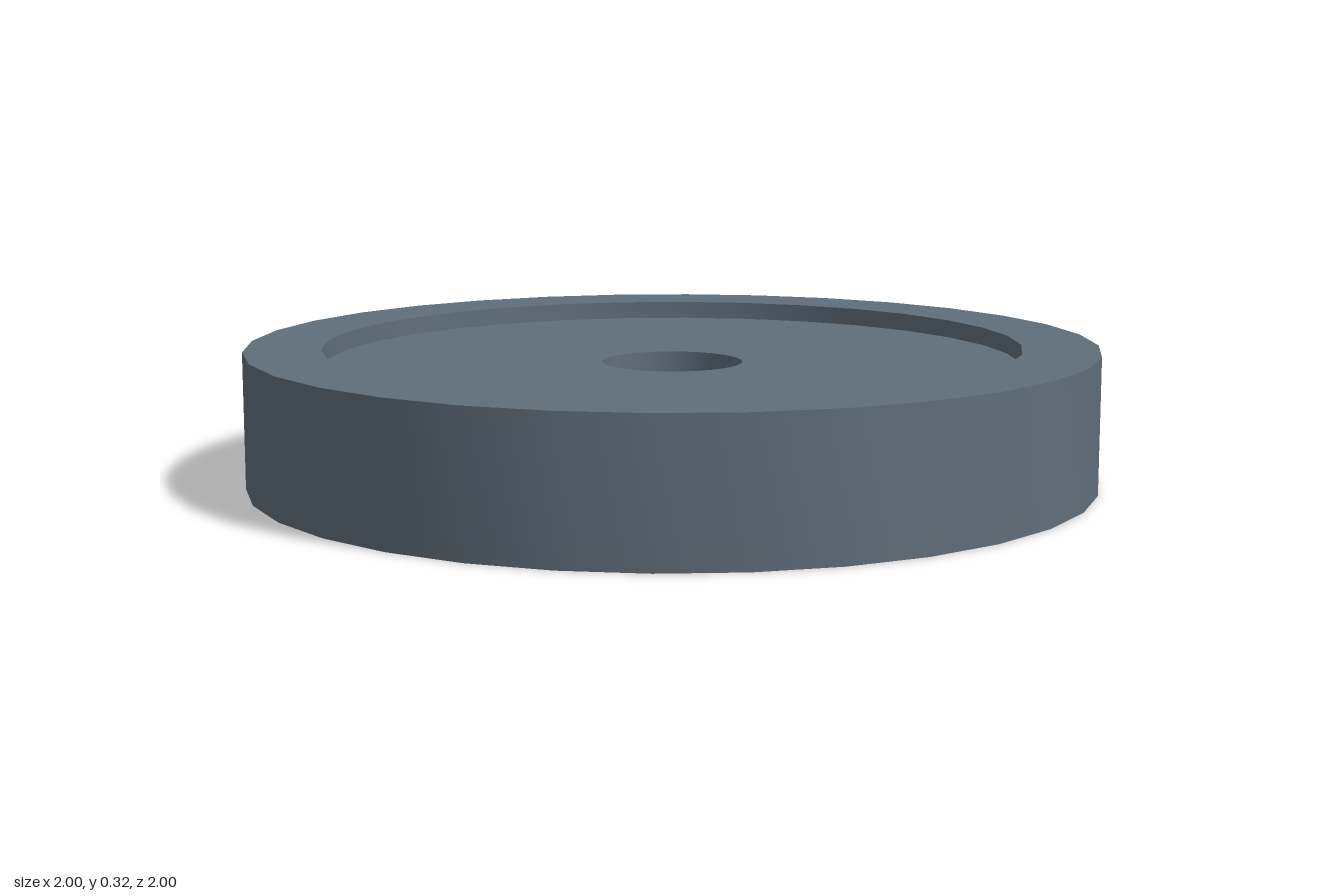
import * as THREE from 'three';
import { toCreasedNormals } from 'three/addons/utils/BufferGeometryUtils.js';

const SIDES = 32;
const OUTER = 1, RECESS = 0.82, BORE = 0.165; // radii
const TOP = 0.32, FLOOR = 0.277;              // heights

export function createModel() {
  const model = new THREE.Group();
  model.name = 'recessedDisc';
  const slate = new THREE.MeshStandardMaterial({ name: 'slateGrey', color: 0x5f6e7a });

  // Revolve a [radius, height] profile, keeping its corners sharp
  const turn = (name, profile) => {
    const points = profile.map(([r, y]) => new THREE.Vector2(r, y));
    const geometry = toCreasedNormals(new THREE.LatheGeometry(points, SIDES), Math.PI / 6);
    const mesh = new THREE.Mesh(geometry, slate);
    mesh.name = name;
    model.add(mesh);
  };

  // Flat underside with the bore opening
  turn('underside', [[BORE, 0], [OUTER, 0]]);
  // Outer wall, flat top ring and step down into the recess
  turn('raisedRim', [[OUTER, 0], [OUTER, TOP], [RECESS, TOP], [RECESS, FLOOR]]);
  // Sunken face
  turn('recessFloor', [[RECESS, FLOOR], [BORE, FLOOR]]);
  // Wall of the centre hole
  turn('centreBore', [[BORE, FLOOR], [BORE, 0]]);

  return model;
}
